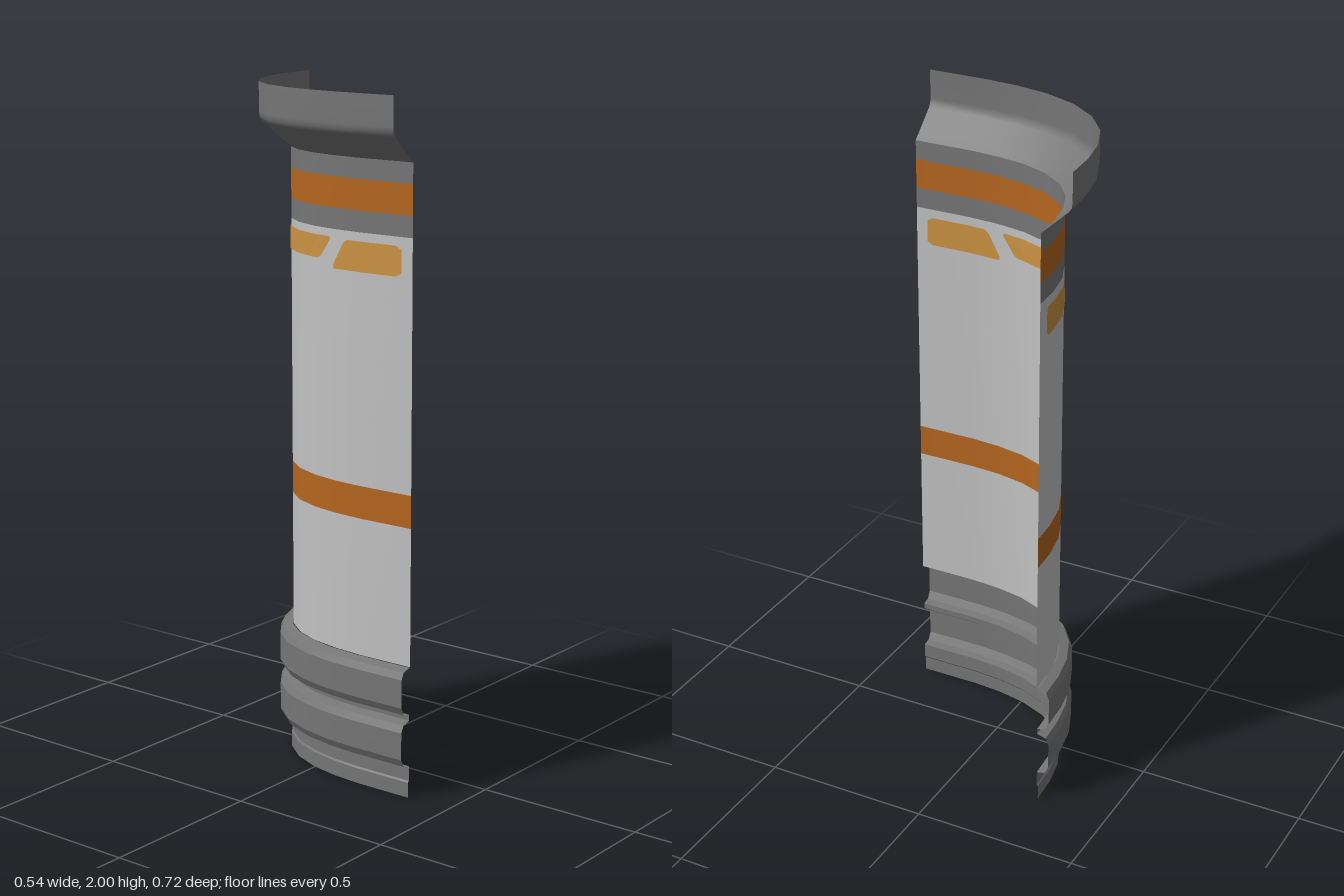
import * as THREE from 'three';

const material = (name, color) =>
  new THREE.MeshStandardMaterial({ name, color, side: THREE.DoubleSide });

// Plan of the wall as [x, z]: straight run, then a quarter bend
const PLAN = [[-0.18, 0.36], [-0.18, 0.18], [-0.173, 0.088], [-0.155, -0.002], [-0.12, -0.087],
  [-0.067, -0.157], [0.003, -0.21], [0.088, -0.245], [0.178, -0.263], [0.27, -0.27]]
  .map(([x, z]) => new THREE.Vector2(x, z));

// Mitred outward direction at each plan point
const MITRES = PLAN.map((p, i) => {
  const normal = (a, b) => {
    const d = b.clone().sub(a).normalize();
    return new THREE.Vector2(d.y, -d.x);
  };
  const last = PLAN.length - 1;
  if (i === 0) return new THREE.Vector2(-1, 0);
  if (i === last) return new THREE.Vector2(0, -1);
  const n1 = normal(PLAN[i - 1], p);
  const n2 = normal(p, PLAN[i + 1]);
  const m = n1.clone().add(n2).normalize();
  return m.divideScalar(m.dot(n1));
});
// outward is towards -x and -z
for (const m of MITRES) if (m.x + m.y > 0) m.negate();

// Point on the wall: u runs along the plan points, offset pushes outward
function wallPoint(u, offset, y) {
  const i = Math.min(Math.floor(u), PLAN.length - 2);
  const p = PLAN[i].clone().lerp(PLAN[i + 1], u - i);
  const m = MITRES[i].clone().lerp(MITRES[i + 1], u - i);
  return [p.x + m.x * offset, y, p.y + m.y * offset];
}

// Skin through rows; each row is { y, offset, from, to }
function skin(rows, columns) {
  const positions = [];
  const index = [];
  for (const { y, offset, from = 0, to = PLAN.length - 1 } of rows) {
    for (let c = 0; c <= columns; c++) {
      positions.push(...wallPoint(from + (to - from) * c / columns, offset, y));
    }
  }
  const n = columns + 1;
  for (let r = 0; r < rows.length - 1; r++) {
    for (let c = 0; c < columns; c++) {
      const a = r * n + c;
      index.push(a, a + n, a + 1, a + 1, a + n, a + n + 1);
    }
  }
  const geometry = new THREE.BufferGeometry();
  geometry.setAttribute('position', new THREE.Float32BufferAttribute(positions, 3));
  geometry.setIndex(index);
  geometry.computeVertexNormals();
  return geometry;
}

export function createModel() {
  const model = new THREE.Group();
  model.name = 'curvedWall';
  const lightGrey = material('lightGrey', 0xc2c2c2);
  const darkGrey = material('darkGrey', 0x767676);
  const orange = material('orange', 0xb5661f);
  const amber = material('amber', 0xcc9343);

  const add = (name, geometry, mat, parent = model) => {
    const mesh = new THREE.Mesh(geometry, mat);
    mesh.name = name;
    parent.add(mesh);
  };

  // Profile of [offset, y]; creased parts get one strip per segment
  const sweep = (name, profile, mat, smooth = false) => {
    const group = new THREE.Group();
    group.name = name;
    model.add(group);
    const rows = profile.map(([offset, y]) => ({ offset, y }));
    const strips = smooth ? [rows] : rows.slice(1).map((row, i) => [rows[i], row]);
    strips.forEach((s, i) => add(`${name}Strip${i + 1}`, skin(s, PLAN.length - 1), mat, group));
  };

  // Base skirt and two moulded rings
  sweep('baseSkirt', [[0.007, 0], [0.007, 0.045], [0.003, 0.05], [0.003, 0.095]], darkGrey);
  const ring = (name, y0, y1) => sweep(name, [[0.003, y0], [0.028, y0 + 0.005], [0.04, y0 + 0.028],
    [0.04, y1 - 0.028], [0.03, y1 - 0.008], [0.003, y1]], darkGrey);
  ring('lowerRing', 0.095, 0.232);
  sweep('ringGroove', [[0.003, 0.232], [0.003, 0.25]], darkGrey);
  ring('upperRing', 0.25, 0.39);

  // Flat wall, split by colour
  const bands = [
    ['lowerWall', 0.39, 0.795, lightGrey], ['middleStripe', 0.795, 0.89, orange],
    ['upperWall', 0.89, 1.61, lightGrey], ['lowerTrim', 1.61, 1.67, darkGrey],
    ['topStripe', 1.67, 1.757, orange], ['upperTrim', 1.757, 1.815, darkGrey],
  ];
  for (const [name, y0, y1, mat] of bands) sweep(name, [[0, y0], [0, y1]], mat);

  // Flared cornice
  sweep('corniceSlope', [[0, 1.815], [0.08, 1.888], [0.088, 1.9], [0.09, 1.915], [0.09, 2]], darkGrey, true);

  // Slanted panels with clipped corners, on both faces of the wall
  const panels = [
    { name: 'frontPanel', y0: 1.5, y1: 1.585, bottom: [0.2, 2.15], top: [0.2, 1.6] },
    { name: 'middlePanel', y0: 1.522, y1: 1.588, bottom: [2.72, 5.2], top: [2.15, 5.8] },
    { name: 'backPanel', y0: 1.5, y1: 1.585, bottom: [5.8, 8.54], top: [6.4, 8.54] },
  ];
  for (const { name, y0, y1, bottom, top } of panels) {
    for (const [face, offset] of [['Outer', 0.003], ['Inner', -0.003]]) {
      const rows = [[0, 0.1], [0.12, 0], [0.88, 0], [1, 0.1]].map(([t, inset]) => ({
        y: y0 + (y1 - y0) * t,
        offset,
        from: THREE.MathUtils.lerp(bottom[0], top[0], t) + inset,
        to: THREE.MathUtils.lerp(bottom[1], top[1], t) - inset,
      }));
      add(name + face, skin(rows, 30), amber);
    }
  }
  return model;
}
